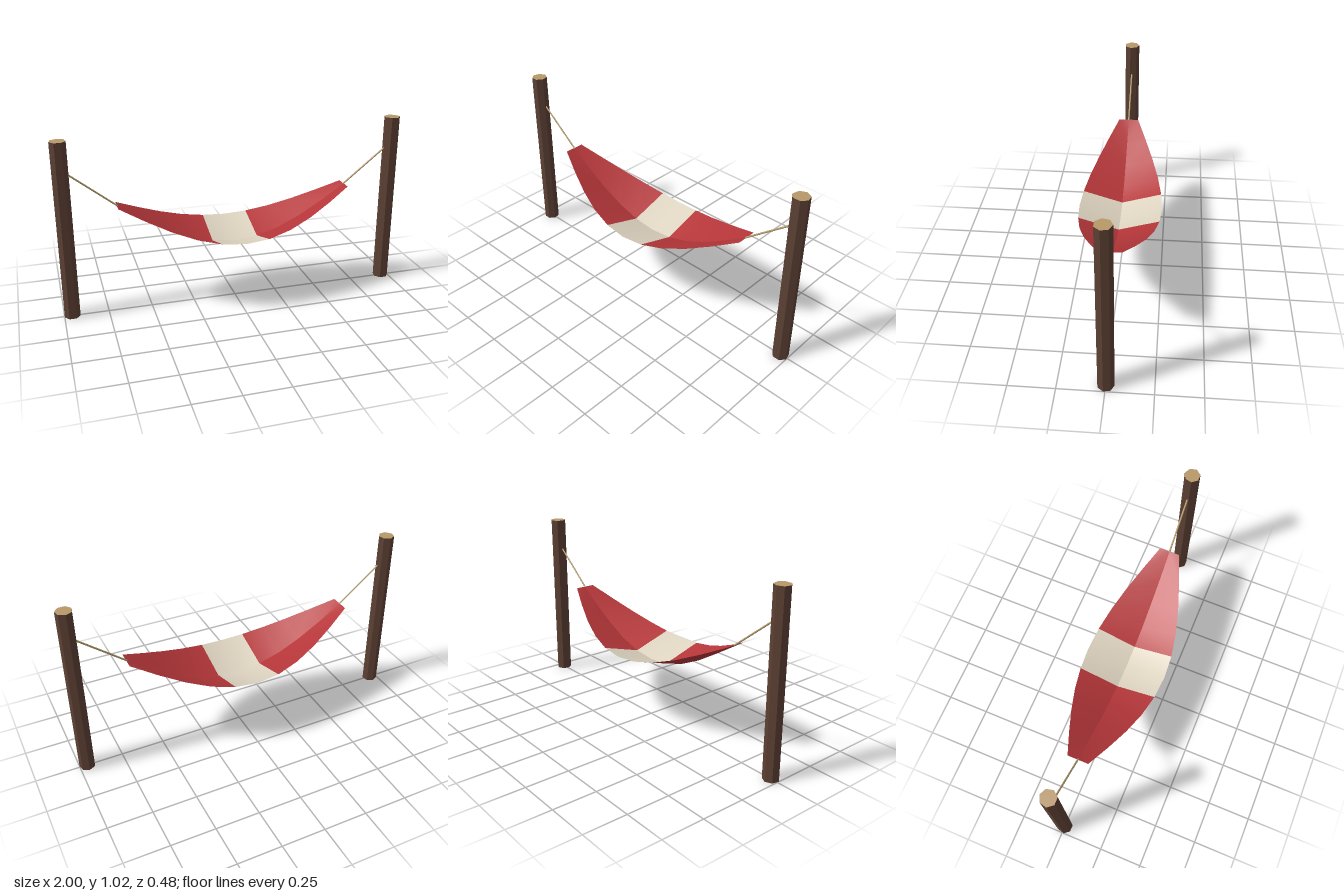
import * as THREE from 'three';

const mat = (name, color, extra = {}) => {
  const m = new THREE.MeshStandardMaterial({ color, ...extra });
  m.name = name;
  return m;
};

// One half of the sagging cloth, from the centre fold to the outer edge on one side
function clothHalf(side, segments = 10) {
  const length = 1.34, positions = [], indices = [];
  const geo = new THREE.BufferGeometry();
  for (let i = 0; i <= segments; i++) {
    const t = i / segments, sag = Math.sin(Math.PI * t);
    const x = (t - 0.5) * length;
    positions.push(x, 0.635 - 0.285 * sag, 0);
    positions.push(x, 0.635 - 0.21 * sag, side * (0.06 + 0.18 * sag));
  }
  for (let i = 0; i < segments; i++) {
    const a = 2 * i, b = a + 1, c = a + 2, d = a + 3;
    if (side > 0) indices.push(a, b, c, b, d, c);
    else indices.push(a, c, b, b, c, d);
    // the two middle segments form the pale band
    geo.addGroup(i * 6, 6, i === 4 || i === 5 ? 1 : 0);
  }
  geo.setAttribute('position', new THREE.Float32BufferAttribute(positions, 3));
  geo.setIndex(indices);
  geo.computeVertexNormals();
  return geo;
}

export function createModel() {
  const model = new THREE.Group();
  model.name = 'hammock';

  const bark = mat('bark brown', 0x5c4033, { flatShading: true });
  const cutWood = mat('cut wood', 0xb8986a, { flatShading: true });
  const rope = mat('rope tan', 0xb8a070);
  const red = mat('cloth red', 0xb53639, { side: THREE.DoubleSide });
  const cream = mat('cloth cream', 0xddd3c0, { side: THREE.DoubleSide });

  const add = (geo, material, name) => {
    const mesh = new THREE.Mesh(geo, material);
    mesh.name = name;
    model.add(mesh);
    return mesh;
  };

  // Cloth
  add(clothHalf(1), [red, cream], 'clothFront');
  add(clothHalf(-1), [red, cream], 'clothBack');

  for (const [side, label] of [[1, 'left'], [-1, 'right']]) {
    // Seven-sided post with pale cut ends
    const postGeo = new THREE.CylinderGeometry(0.045, 0.045, 1.02, 7, 1, false, Math.PI);
    const post = add(postGeo, [bark, cutWood, cutWood], label + 'Post');
    post.position.set(side * 0.956, 0.51, 0);

    // Rope from the cloth end to the post
    const path = new THREE.LineCurve3(
      new THREE.Vector3(side * 0.665, 0.633, 0),
      new THREE.Vector3(side * 0.925, 0.84, 0)
    );
    add(new THREE.TubeGeometry(path, 1, 0.005, 6), rope, label + 'Rope');
  }
  return model;
}
